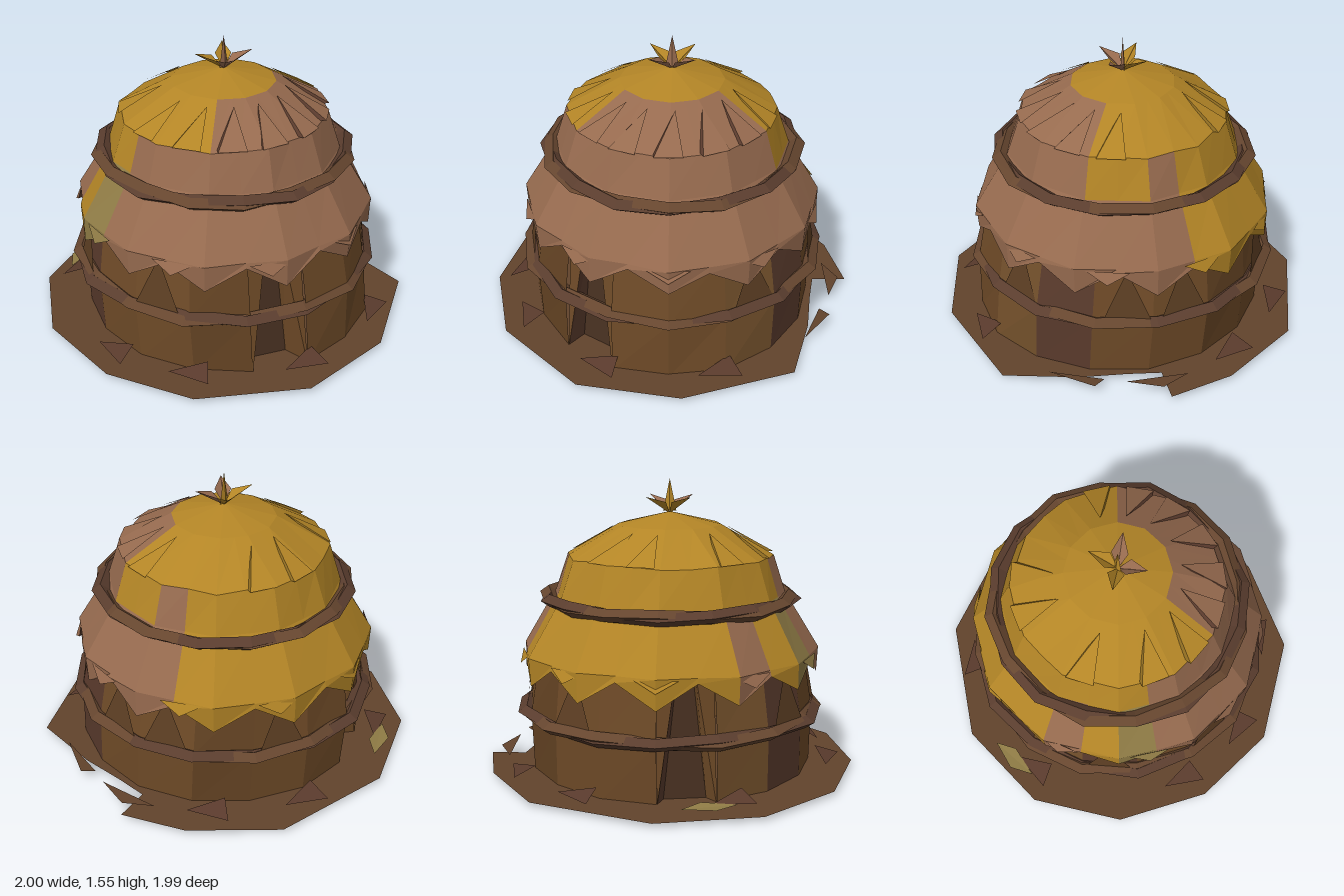
import * as THREE from 'three';

const YELLOW = 0xb38526, STRAW = 0x976b4f, WALL = 0x6e4a27, DARK = 0x593a2c, ROPE = 0x5a3d2e, EARTH = 0x62432c, OLIVE = 0x8f7b45;

let seed = 7;
const rand = () => (seed = (seed * 16807) % 2147483647) / 2147483647;
const wobble = a => (rand() - 0.5) * 2 * a;

// Point at angle (degrees from +z towards +x), radius and height
const polar = (deg, r, y) => {
  const a = THREE.MathUtils.degToRad(deg);
  return [Math.sin(a) * r, y, Math.cos(a) * r];
};

// Collects triangles by colour and turns each colour into one mesh
class Patchwork {
  constructor() { this.lists = new Map(); }
  tri(color, a, b, c) {
    if (!this.lists.has(color)) this.lists.set(color, []);
    this.lists.get(color).push(...a, ...b, ...c);
  }
  quad(color, a, b, c, d) { this.tri(color, a, b, c); this.tri(color, a, c, d); }
  build(name) {
    const group = new THREE.Group();
    group.name = name;
    for (const [color, list] of this.lists) {
      const geo = new THREE.BufferGeometry();
      geo.setAttribute('position', new THREE.Float32BufferAttribute(list, 3));
      geo.computeVertexNormals();
      const mesh = new THREE.Mesh(geo, new THREE.MeshStandardMaterial({ color, flatShading: true, side: THREE.DoubleSide }));
      mesh.name = name;
      group.add(mesh);
    }
    return group;
  }
}

// Closed rings from bottom to top; the colour is chosen per row and angle
function shell(patch, rings, colorAt, skip = () => false) {
  for (let j = 0; j < rings.length - 1; j++) {
    const lo = rings[j], hi = rings[j + 1], n = lo.length;
    for (let i = 0; i < n; i++) {
      const k = (i + 1) % n;
      let deg = (i + 0.5) * 360 / n;
      if (deg > 180) deg -= 360;
      if (!skip(i)) patch.quad(colorAt(j, deg, i), lo[i], lo[k], hi[k], hi[i]);
    }
  }
}

// Ring of 24 points lying on a 12-sided outline
const ring = (r, y, jr = 0, jy = 0) => Array.from({ length: 24 }, (_, i) =>
  polar(i * 15, r * (i % 2 ? 0.968 : 1) + wobble(jr), y + wobble(jy)));

// Trampled earth sheet with a torn right edge, and loose scraps
function ground() {
  const outline = [[0, -1], [0.63, -0.78], [0.91, -0.37], [0.995, -0.03], [0.85, -0.27], [0.78, 0.15], [0.75, 0.4],
    [0.65, 0.78], [0.07, 0.99], [-0.47, 0.9], [-0.89, 0.48], [-1, 0], [-0.88, -0.5], [-0.53, -0.87]];
  const p = new Patchwork();
  outline.forEach(([x, z], i) => {
    const [x2, z2] = outline[(i + 1) % outline.length];
    p.tri(EARTH, [0, 0.025, 0], [x2, 0.025, z2], [x, 0.025, z]);
  });
  const scraps = [[[0.87, -0.15], [0.95, 0.0], [0.88, 0.18]], [[0.82, 0.28], [0.87, 0.34], [0.72, 0.55]]];
  for (const s of scraps) p.tri(EARTH, ...s.map(([x, z], i) => [x, 0.05 + i * 0.008, z]));
  for (const deg of [-155, -95, -65, -25, 17, 152, 118])
    p.tri(DARK, polar(deg - 7, 0.87, 0.06), polar(deg + 7, 0.93, 0.06), polar(deg + 6, 0.8, 0.1));
  p.quad(OLIVE, [-0.4, 0.06, -0.81], [-0.3, 0.06, -0.9], [-0.13, 0.06, -0.9], [-0.22, 0.07, -0.82]);
  return p.build('ground');
}

// Leaning wall panels with two narrowing openings
function wall() {
  const p = new Patchwork(), n = 16, openings = [14, 8];
  const level = (r, y, j, shift) => Array.from({ length: n }, (_, i) => {
    const v = polar(i * 22.5, r + wobble(j), y);
    return [v[0], v[1], v[2] * 1.03 + shift];
  });
  const rings = [level(0.762, 0.005, 0.008, 0.035), level(0.765, 0.34, 0.01, 0.015), level(0.715, 0.68, 0.005, 0)];
  const shades = [WALL, WALL, 0x644323, WALL, DARK, 0x73502b];
  shell(p, rings, (j, deg, i) => shades[(i * 5 + (i >> 2)) % 6], i => openings.includes(i));
  for (const i of openings) {
    const a = i * 22.5, b = a + 22.5;
    const left = [rings[0][i], rings[2][i]], right = [rings[0][(i + 1) % n], rings[2][(i + 1) % n]];
    const mid = t => left[1].map((v, k) => v + (right[1][k] - v) * t);
    // jambs, reveals and the dark panel behind
    p.tri(WALL, left[0], mid(0.33), left[1]);
    p.tri(WALL, right[0], right[1], mid(0.67));
    const inL = polar(a + 2, 0.68, 0.005), inR = polar(b - 2, 0.68, 0.005);
    const topL = polar(a + 8, 0.66, 0.68), topR = polar(b - 8, 0.66, 0.68);
    p.quad(0x4a3222, inL, inR, topR, topL);
    p.quad(DARK, left[0], inL, topL, mid(0.33));
    p.quad(WALL, inR, right[0], mid(0.67), topR);
  }
  // broad darker facets lying on the upper wall
  for (const deg of [34, 79, 101, 146, -79, -124])
    p.tri(0x5f4024, polar(deg - 9, 0.785, 0.36), polar(deg + 9, 0.785, 0.36), polar(deg, 0.745, 0.64));
  return p.build('wall');
}

// Lower thatch with a toothed hem
function lowerThatch() {
  const p = new Patchwork();
  const hem = Array.from({ length: 24 }, (_, i) =>
    polar(i * 15, i % 2 ? 0.78 : 0.795, (i % 2 ? 0.64 : 0.515) + wobble(0.015)));
  const rings = [hem, ring(0.8, 0.665, 0.005, 0.005), ring(0.645, 0.92), ring(0.6, 0.99)];
  const color = (j, deg) => {
    if (deg > 104 || deg < -148) return YELLOW;
    if (deg < -120 && deg > -135) return YELLOW;
    return deg < -98 && deg > -114 ? OLIVE : STRAW;
  };
  shell(p, rings, color);
  // lifted tufts above the hem
  for (let deg = -180; deg < 180; deg += 36) {
    const c = color(0, deg);
    const l = polar(deg - 8, 0.79, 0.66), r = polar(deg + 8, 0.79, 0.66), tip = polar(deg, 0.812, 0.6);
    p.tri(c, l, tip, r);
    p.tri(c === YELLOW ? 0x6b4f18 : DARK, l, r, polar(deg, 0.77, 0.61));
  }
  return p.build('lowerThatch');
}

// Upper dome: straw front, yellow crown and back
function upperThatch() {
  const p = new Patchwork();
  const rings = [ring(0.62, 0.96), ring(0.552, 1.16, 0.006, 0.008), ring(0.275, 1.32), ring(0.005, 1.385)];
  const color = (j, deg) => {
    if (j === 2) return YELLOW;
    if (j === 0) return deg > 105 || deg < -100 || (deg > 62 && deg < 95) ? YELLOW : STRAW;
    return deg > -62 && deg < 55 ? STRAW : YELLOW;
  };
  shell(p, rings, color);
  // straw wisps lying on the dome
  for (const deg of [-100, -72, -48, -25, 0, 25, 48, 72, 145, 170, -140]) {
    const c = color(1, deg), l = polar(deg - 8, 0.56, 1.165), r = polar(deg + 7, 0.555, 1.165);
    const top = polar(deg + 4, 0.32, 1.3);
    p.tri(c, l, r, top);
    p.tri(c === YELLOW ? 0x8a681f : DARK, l, top, polar(deg - 9, 0.52, 1.165));
  }
  return p.build('upperThatch');
}

// Band of two crossing flattened strands
function rope(name, radius, y, phase) {
  const group = new THREE.Group();
  group.name = name;
  for (const sign of [-1, 1]) {
    const geo = new THREE.TorusGeometry(radius, 0.046, 4, 16);
    geo.rotateX(Math.PI / 2);
    const pos = geo.attributes.position;
    for (let i = 0; i < pos.count; i++) {
      const a = Math.atan2(pos.getX(i), pos.getZ(i));
      const s = 1 + sign * 0.02 * Math.sin(a * 5 + phase);
      pos.setXYZ(i, pos.getX(i) * s, pos.getY(i) * 0.72 + sign * 0.01 * Math.cos(a * 4 + phase), pos.getZ(i) * s);
    }
    const mesh = new THREE.Mesh(geo, new THREE.MeshStandardMaterial({ color: sign > 0 ? 0x66462f : ROPE, flatShading: true }));
    mesh.name = name;
    mesh.position.y = y;
    group.add(mesh);
  }
  return group;
}

// Sprig of pointed leaves on the crown, with an upright spike
function topSprig() {
  const p = new Patchwork();
  for (const deg of [50, 130, -130, -50]) {
    const root = [0, 1.375, 0], tip = polar(deg, 0.155, 1.47);
    const l = polar(deg - 38, 0.07, 1.44), r = polar(deg + 38, 0.07, 1.44), keel = polar(deg, 0.06, 1.415);
    const c = Math.abs(deg) < 90 ? STRAW : YELLOW;
    p.quad(c, root, l, tip, keel);
    p.quad(c, root, keel, tip, r);
  }
  const spike = [0, 1.56, 0], foot = [0, 90, 180, 270].map(deg => polar(deg, deg % 180 ? 0.035 : 0.012, 1.39));
  foot.forEach((f, i) => p.tri(i % 3 ? YELLOW : STRAW, f, foot[(i + 1) % 4], spike));
  return p.build('topSprig');
}

export function createModel() {
  const model = new THREE.Group();
  model.name = 'strawHut';
  model.add(ground(), wall(), lowerThatch(), upperThatch(),
    rope('upperRope', 0.65, 0.935, 0.4), rope('lowerRope', 0.78, 0.34, 1.7), topSprig());
  return model;
}
